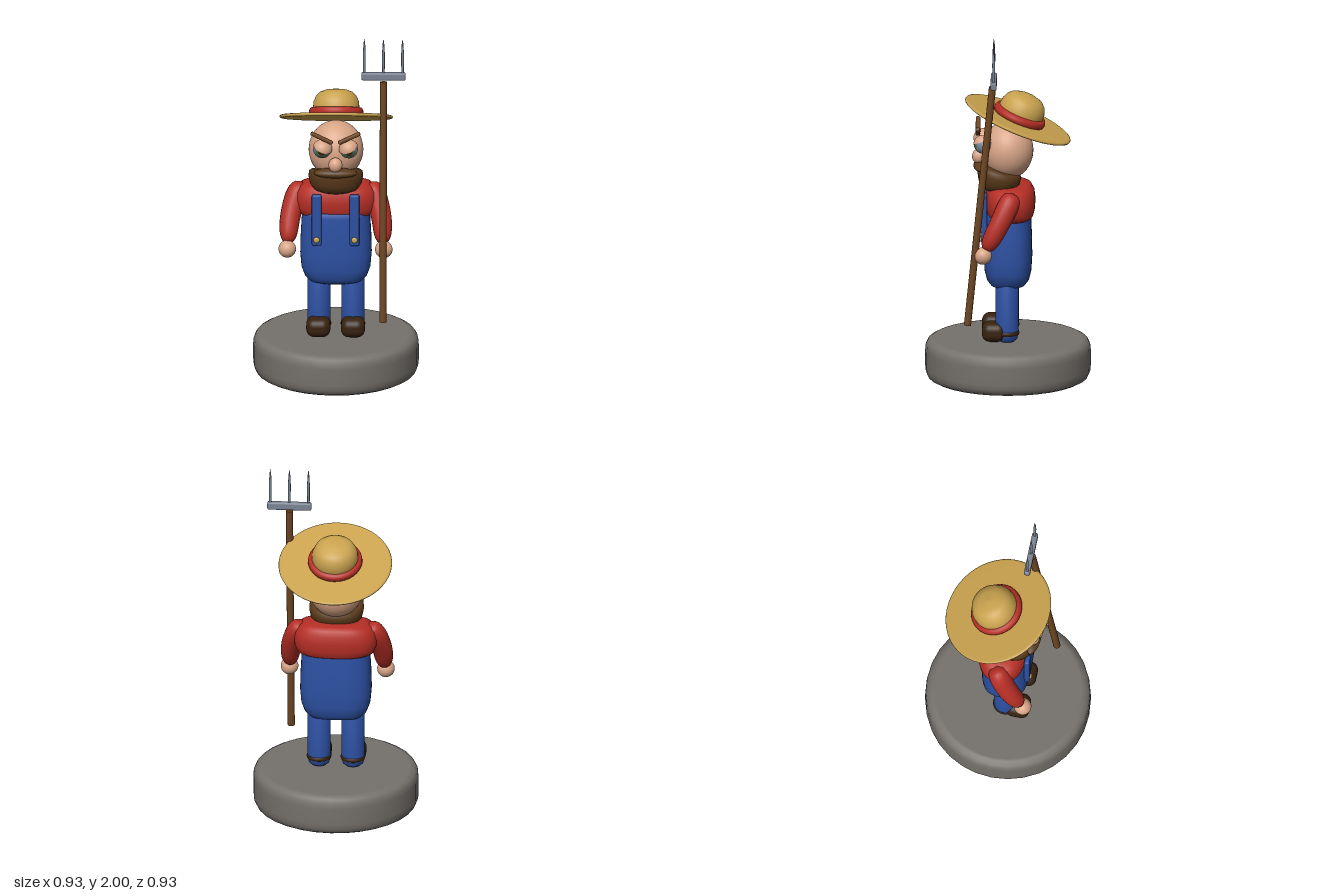
import * as THREE from 'three';
import { mergeVertices } from 'three/addons/utils/BufferGeometryUtils.js';
import { RoundedBoxGeometry } from 'three/addons/geometries/RoundedBoxGeometry.js';

const mat = (name, color) => {
  const m = new THREE.MeshStandardMaterial({ color });
  m.name = name;
  return m;
};

// Recompute smooth normals without a seam
function smooth(geo) {
  geo.deleteAttribute('uv');
  geo.deleteAttribute('normal');
  const g = mergeVertices(geo, 1e-4);
  g.computeVertexNormals();
  return g;
}

const lathe = (pts, seg = 40) =>
  new THREE.LatheGeometry(pts.map(p => new THREE.Vector2(p[0], p[1])), seg);

// Lathe pushed towards a rounded-rectangle section, then flattened in depth
function squircle(pts, depth, n, lean = 0) {
  const g = lathe(pts, 48), p = g.attributes.position, y0 = pts[0][1];
  const h = pts[pts.length - 1][1] - y0;
  for (let i = 0; i < p.count; i++) {
    const x = p.getX(i), y = p.getY(i), z = p.getZ(i), r = Math.hypot(x, z);
    const k = r < 1e-6 ? 1 : r / Math.pow(Math.abs(x) ** n + Math.abs(z) ** n, 1 / n);
    p.setXYZ(i, x * k, y + z * k * depth * lean * (y - y0) / h, z * k * depth);
  }
  return smooth(g);
}

// Sausage along a curve, rounded at both ends and tapering
function limb(points, r0, r1) {
  const curve = new THREE.CatmullRomCurve3(points.map(p => new THREE.Vector3(...p)));
  const rings = 24, sides = 18, g = new THREE.TubeGeometry(curve, rings, 1, sides);
  const p = g.attributes.position, v = new THREE.Vector3();
  for (let i = 0; i < p.count; i++) {
    const t = Math.floor(i / (sides + 1)) / rings, c = curve.getPointAt(t);
    const r = (r0 + (r1 - r0) * t) * Math.sqrt(Math.max(0, 1 - Math.abs(2 * t - 1) ** 5));
    v.fromBufferAttribute(p, i).sub(c).multiplyScalar(r).add(c);
    p.setXYZ(i, v.x, v.y, v.z);
  }
  return smooth(g);
}

export function createModel() {
  const model = new THREE.Group();
  model.name = 'farmerFigure';
  const stone = mat('stone', 0x75716c), denim = mat('denim', 0x2c50a2), shirt = mat('shirtRed', 0xb52e25);
  const leather = mat('leather', 0x38220f), skin = mat('skin', 0xd8a587), hair = mat('hair', 0x5a3a1a);
  const wood = mat('wood', 0x6c4522), straw = mat('straw', 0xc9a24e), steel = mat('steel', 0x7b8494);
  const iris = mat('irisGreen', 0x3f6b4c);

  const add = (name, geo, m, pos = [0, 0, 0], scale = [1, 1, 1], parent = model) => {
    const mesh = new THREE.Mesh(geo, m);
    mesh.name = name;
    mesh.position.set(...pos);
    mesh.scale.set(...scale);
    parent.add(mesh);
    return mesh;
  };
  const ball = new THREE.SphereGeometry(1, 32, 24);

  // Round plinth
  add('base', lathe([[0, 0], [0.41, 0], [0.425, 0.002], [0.448, 0.014], [0.46, 0.04], [0.463, 0.07], [0.463, 0.165],
    [0.46, 0.195], [0.448, 0.216], [0.425, 0.228], [0.41, 0.23], [0, 0.23]], 32), stone);

  // Overalls body and shirt
  add('overalls', squircle([[0, 0.53], [0.09, 0.533], [0.145, 0.55], [0.175, 0.58], [0.193, 0.63], [0.2, 0.71],
    [0.197, 0.82], [0.19, 0.94], [0.183, 0.965], [0.17, 0.972], [0, 0.975]], 0.68, 2.9), denim);
  add('shirt', squircle([[0, 0.935], [0.19, 0.937], [0.215, 0.95], [0.23, 0.985], [0.235, 1.03], [0.226, 1.075],
    [0.2, 1.105], [0.16, 1.12], [0, 1.13]], 0.595, 2.7), shirt, [0, 0, -0.014]);

  for (const s of [1, -1]) {
    const side = s > 0 ? 'left' : 'right';

    // Legs and shoes
    add(side + 'Leg', lathe([[0, 0.232], [0.04, 0.235], [0.058, 0.25], [0.065, 0.28], [0.065, 0.6], [0, 0.6]], 28),
      denim, [s * 0.095, 0, 0.005]);
    add(side + 'Shoe', new RoundedBoxGeometry(0.135, 0.108, 0.135, 5, 0.045), leather, [s * 0.097, 0.291, 0.078]);
    add(side + 'ShoeHeel', new THREE.TorusGeometry(0.054, 0.016, 10, 28).rotateX(Math.PI / 2),
      leather, [s * 0.095, 0.285, 0.005]);

    // Braces with buttons
    add(side + 'Strap', new RoundedBoxGeometry(0.054, 0.3, 0.03, 3, 0.01), denim, [s * 0.106, 0.94, 0.132]);
    add(side + 'Button', ball, straw, [s * 0.106, 0.826, 0.148], [0.017, 0.017, 0.01]);

    // Arms and hands
    add(side + 'Arm', limb([[s * 0.185, 1.11, -0.03], [s * 0.222, 1.04, 0.0], [s * 0.255, 0.93, 0.055],
      [s * 0.267, 0.795, 0.125]], 0.066, 0.05), shirt);
    add(side + 'Hand', ball, skin, [s * 0.27, 0.77, 0.138], [0.049, 0.049, 0.049]);

    // Eye, lid and angry brow
    const eye = new THREE.Group();
    eye.name = side + 'Eye';
    eye.position.set(s * 0.075, 1.362, 0.138);
    model.add(eye);
    const cap = (r, a) => new THREE.SphereGeometry(r, 28, 10, 0, Math.PI * 2, 0, a);
    add('eyeball', ball, steel, [0, 0, 0], [0.05, 0.05, 0.05], eye);
    add('iris', cap(0.0512, 0.78), iris, [0, 0, 0], [1, 1, 1], eye).rotation.x = Math.PI / 2;
    add('pupil', cap(0.0522, 0.42), leather, [0, 0, 0], [1, 1, 1], eye).rotation.x = Math.PI / 2;
    add('eyelid', cap(0.056, 1.4), skin, [0, 0, 0], [1, 1, 1], eye).rotation.set(0.25, 0, s * 0.35);
    add(side + 'Eyebrow', new RoundedBoxGeometry(0.135, 0.022, 0.026, 3, 0.009), wood, [s * 0.077, 1.438, 0.168])
      .rotation.z = s * 0.45;
  }

  // Head and face
  add('head', ball, skin, [0, 1.315, 0], [0.153, 0.165, 0.142]);
  add('nose', ball, skin, [0, 1.277, 0.163], [0.039, 0.042, 0.038]);
  add('beard', squircle([[0, 1.083], [0.08, 1.086], [0.122, 1.102], [0.145, 1.135], [0.153, 1.175], [0.15, 1.205],
    [0.135, 1.217], [0, 1.22]], 0.8, 2.3, 0.3), hair, [0, 0, 0.05]);
  add('moustache', ball, hair, [0, 1.225, 0.148], [0.122, 0.028, 0.045]);

  // Straw hat tipped back
  const hat = new THREE.Group();
  hat.name = 'hat';
  hat.position.set(0, 1.487, -0.055);
  hat.rotation.x = -0.387;
  model.add(hat);
  add('brim', lathe([[0, -0.01], [0.305, -0.01], [0.315, -0.006], [0.318, 0], [0.315, 0.006], [0.305, 0.01], [0, 0.01]], 48),
    straw, [0, 0, 0], [1, 1, 1], hat);
  add('band', lathe([[0.12, 0.005], [0.146, 0.008], [0.152, 0.022], [0.151, 0.036], [0.144, 0.05], [0.12, 0.054]], 48),
    shirt, [0, 0, 0], [1, 1, 1], hat);
  add('crown', lathe([[0.126, 0], [0.13, 0.05], [0.127, 0.085], [0.113, 0.118], [0.09, 0.14], [0.055, 0.153], [0, 0.158]], 40),
    straw, [0, 0, 0], [1, 1, 1], hat);

  // Pitchfork
  const fork = new THREE.Group();
  fork.name = 'pitchfork';
  fork.position.x = 0.267;
  model.add(fork);
  add('handle', new THREE.CylinderGeometry(0.02, 0.02, 1.382, 16), wood, [0, 1.057, 0.155], [1, 1, 1], fork)
    .rotation.x = -Math.atan2(0.14, 1.375);
  add('crossbar', new RoundedBoxGeometry(0.248, 0.045, 0.034, 3, 0.01), steel, [0, 1.776, 0.078], [1, 1, 1], fork);
  for (const x of [-0.107, 0, 0.107]) {
    add('tine', lathe([[0, 0], [0.007, 0], [0.008, 0.12], [0.005, 0.18], [0, 0.215]], 12), steel,
      [x, 1.785, 0.078], [1, 1, 1], fork);
  }
  return model;
}
